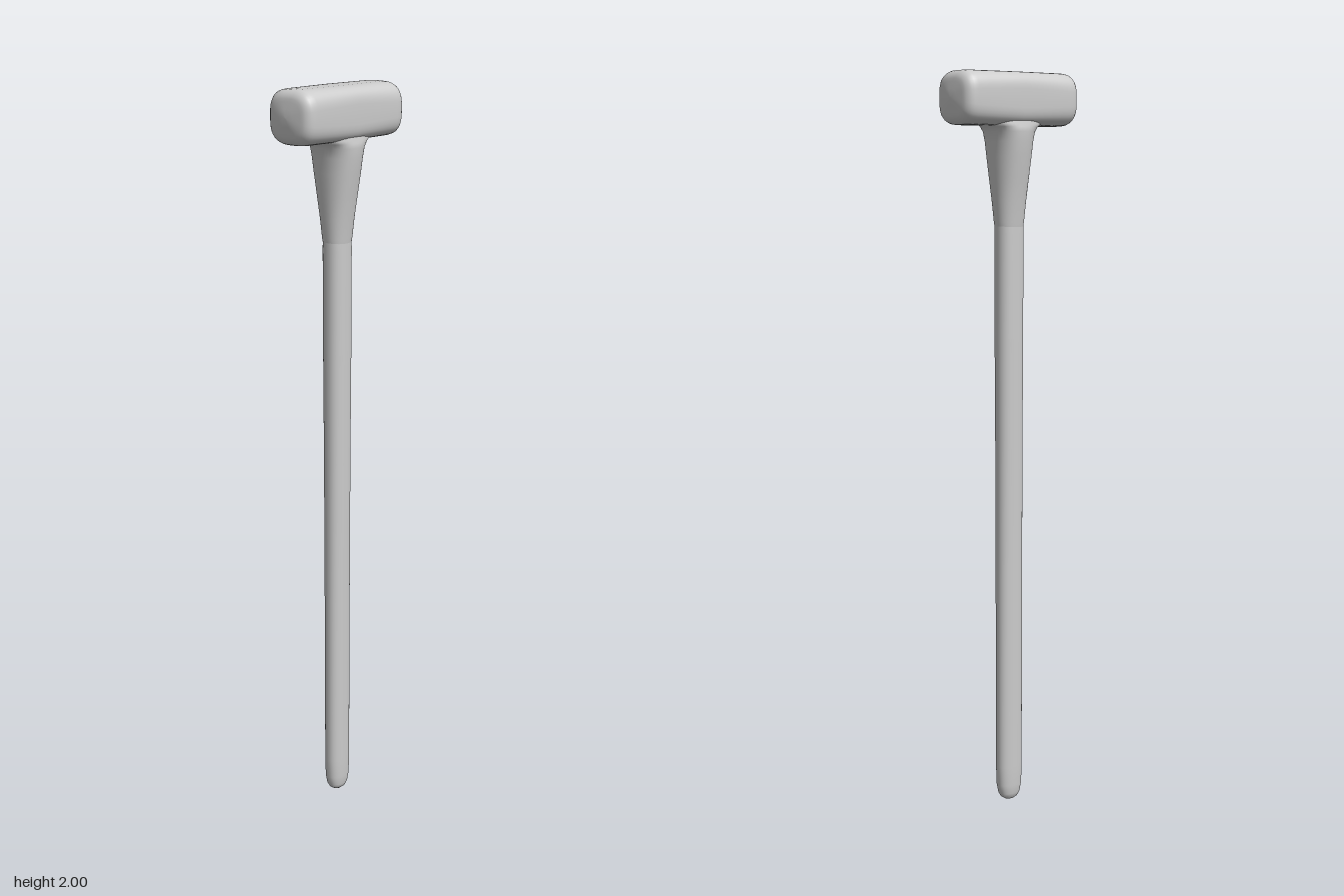
import * as THREE from 'three';

const SEGMENTS = 48;

// Smooth skin through superellipse sections stacked along y.
// Each section is [y, half width in x, half depth in z, squareness]
function loft(sections) {
  const positions = [], index = [];
  sections.forEach(([y, rx, rz, n], i) => {
    for (let j = 0; j < SEGMENTS; j++) {
      const a = (j / SEGMENTS) * Math.PI * 2;
      const c = Math.cos(a), s = Math.sin(a);
      positions.push(
        rx * Math.sign(c) * Math.abs(c) ** (2 / n), y,
        rz * Math.sign(s) * Math.abs(s) ** (2 / n));
      if (i === sections.length - 1) continue;
      const p = i * SEGMENTS + j, q = i * SEGMENTS + (j + 1) % SEGMENTS;
      index.push(p, p + SEGMENTS, q, q, p + SEGMENTS, q + SEGMENTS);
    }
  });
  const geometry = new THREE.BufferGeometry();
  geometry.setAttribute('position', new THREE.Float32BufferAttribute(positions, 3));
  geometry.setIndex(index);
  geometry.computeVertexNormals();
  return geometry;
}

// Half of the head's sections from its middle to one rounded end face
function headHalf() {
  const half = [];
  for (const x of [0, 0.04, 0.08, 0.12, 0.15]) half.push([x, 0.07, 0.075, 4 - x * 5]);
  const round = 0.03;
  for (let k = 1; k <= 6; k++) {
    const a = (k / 6) * Math.PI / 2;
    const inset = round * (1 - Math.cos(a));
    half.push([0.155 + round * Math.sin(a), 0.07 - inset, 0.075 - inset, 3.1]);
  }
  half.push([0.189, 0.022, 0.024, 2.6], [0.19, 0, 0, 2.6]);
  return half;
}

export function createModel() {
  const group = new THREE.Group();
  const material = new THREE.MeshStandardMaterial({ color: 0xcccccc });
  const add = (name, geometry) => {
    const mesh = new THREE.Mesh(geometry, material);
    mesh.name = name;
    group.add(mesh);
    return mesh;
  };

  // Long oval shaft with a rounded butt
  add('handle', loft([
    [0, 0, 0, 2.3], [0.002, 0.015, 0.012, 2.3], [0.008, 0.024, 0.019, 2.3],
    [0.02, 0.031, 0.024, 2.3], [0.045, 0.036, 0.027, 2.3], [0.1, 0.038, 0.028, 2.3],
    [0.25, 0.038, 0.028, 2.3], [0.6, 0.038, 0.029, 2.3], [1.0, 0.038, 0.031, 2.3],
    [1.3, 0.039, 0.033, 2.3], [1.58, 0.039, 0.034, 2.3], [1.605, 0.038, 0.034, 2.3],
  ]));

  // Flared neck that fillets into the underside of the head
  add('neck', loft([
    [1.59, 0.037, 0.033, 2.3], [1.61, 0.04, 0.036, 2.3], [1.66, 0.044, 0.042, 2.3],
    [1.72, 0.049, 0.052, 2.3], [1.78, 0.054, 0.062, 2.3], [1.82, 0.057, 0.068, 2.3],
    [1.845, 0.062, 0.07, 2.4], [1.857, 0.071, 0.07, 2.5], [1.866, 0.086, 0.066, 2.6],
    [1.89, 0.09, 0.062, 2.6],
  ]));

  // Blunt double-faced head lying along x
  const half = headHalf();
  const mirrored = half.slice(1).reverse().map(([x, ...rest]) => [-x, ...rest]);
  const head = add('head', loft([...mirrored, ...half]));
  head.rotation.z = -Math.PI / 2;
  head.position.y = 1.93;

  return group;
}
